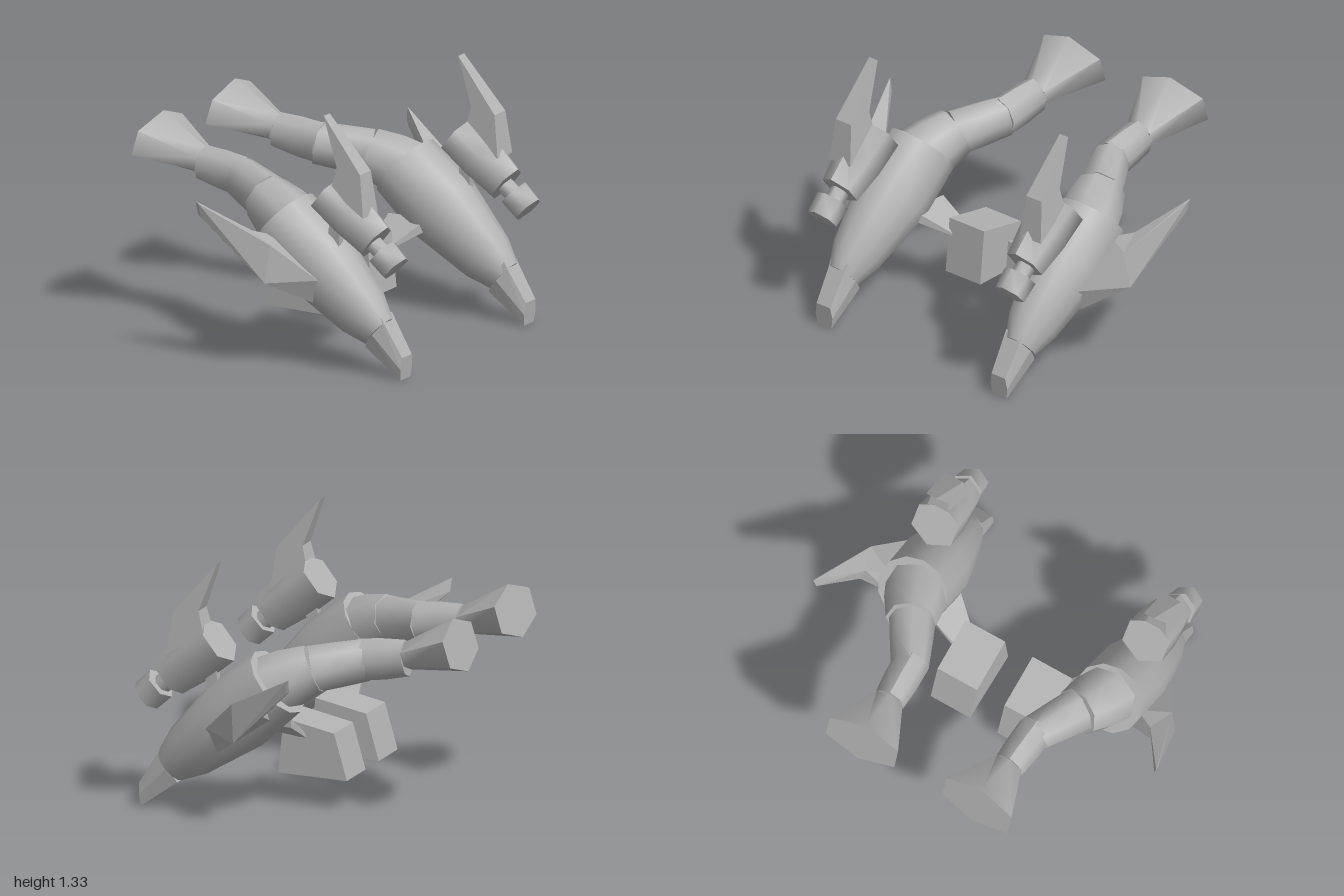
import * as THREE from 'three';
import { toCreasedNormals } from 'three/addons/utils/BufferGeometryUtils.js';
import { ConvexGeometry } from 'three/addons/geometries/ConvexGeometry.js';

const grey = new THREE.MeshStandardMaterial({ color: 0xb2b2b2 });
grey.name = 'hull grey';

// Turned part along an axis in x, y, z; radii are evenly spaced unless stops are given.
// Its width across z eases from widthA to widthB times the radius.
function spindle(a, b, radii, sides, widthA, widthB, stops) {
  const from = new THREE.Vector3(...a);
  const dir = new THREE.Vector3(...b).sub(from);
  const length = dir.length();
  dir.normalize();
  const profile = radii.map((r, i) =>
    new THREE.Vector2(r, length * (stops ? stops[i] : i / (radii.length - 1))));
  const geo = new THREE.LatheGeometry(
    [new THREE.Vector2(0, 0), ...profile, new THREE.Vector2(0, length)], sides);
  const pos = geo.attributes.position;
  for (let i = 0; i < pos.count; i++) {
    pos.setX(i, pos.getX(i) * THREE.MathUtils.lerp(widthA, widthB, pos.getY(i) / length));
  }
  // One corner of the section points upward
  const up = new THREE.Vector3(0, 1, 0).addScaledVector(dir, -dir.y).normalize();
  const across = new THREE.Vector3().crossVectors(dir, up);
  geo.applyMatrix4(new THREE.Matrix4().makeBasis(across, dir, up).setPosition(from));
  return toCreasedNormals(geo, sides === 6 ? 1.1 : 0.9);
}

// Flat plate from an outline in x and y, centred on z
function plate(outline, z, depth) {
  const shape = new THREE.Shape(outline.map(([x, y]) => new THREE.Vector2(x, y)));
  return new THREE.ExtrudeGeometry(shape, { depth, bevelEnabled: false })
    .translate(0, 0, z - depth / 2);
}

// Faceted solid around a set of corners
const hull = (corners) => new ConvexGeometry(corners.map((c) => new THREE.Vector3(...c)));

function buildCraft(side) {
  const craft = new THREE.Group();
  craft.name = side > 0 ? 'frontCraft' : 'backCraft';
  const at = (x, y, z) => [x, y, z * side];
  const add = (name, geo) => {
    const mesh = new THREE.Mesh(geo, grey);
    mesh.name = name;
    craft.add(mesh);
  };

  // Body and tail
  add('mainBody', spindle(at(0.095, 0.725, 0.57), at(0.675, 0.225, 0.59),
    [0.19, 0.205, 0.147, 0.097], 12, 1, 0.85, [0, 0.37, 0.83, 1]));
  add('rearCollar', spindle(at(-0.065, 0.79, 0.485), at(0.16, 0.69, 0.57),
    [0.13, 0.155, 0.16], 8, 1, 1.05));
  add('tailSegmentFront', spindle(at(-0.3, 0.83, 0.355), at(-0.05, 0.785, 0.485),
    [0.112, 0.12, 0.125], 8, 0.85, 0.95));
  add('tailSegmentRear', spindle(at(-0.52, 0.865, 0.348), at(-0.27, 0.83, 0.362),
    [0.096, 0.108, 0.11], 8, 0.85, 0.85));
  add('tailCone', spindle(at(-0.81, 0.965, 0.335), at(-0.52, 0.875, 0.348),
    [0.14, 0.07], 6, 1.6, 1.2));

  // Nose, rounded a little by wider middle corners
  const nose = [
    [0.71, 0.32, 0.055], [0.665, 0.23, 0.075], [0.62, 0.15, 0.055],
    [0.835, 0.12, 0.045], [0.83, 0.06, 0.056], [0.825, 0, 0.045]];
  add('nose', hull(nose.flatMap(([x, y, w]) => [at(x, y, 0.583 + w), at(x, y, 0.583 - w)])));

  // Upper pod with its neck and tip
  add('upperPod', spindle(at(0.395, 0.92, 0.615), at(0.67, 0.7, 0.615),
    [0.128, 0.13, 0.112], 6, 1.04, 0.88));
  add('podNeck', spindle(at(0.64, 0.71, 0.62), at(0.75, 0.62, 0.62), [0.05, 0.05], 6, 1, 1));
  add('podTip', spindle(at(0.715, 0.657, 0.625), at(0.795, 0.582, 0.625),
    [0.088, 0.085], 6, 1, 0.95));
  add('podStrut', plate([[0.39, 0.64], [0.46, 0.62], [0.47, 0.8], [0.41, 0.8]], 0.615 * side, 0.04));

  // Top fin, thinner toward its tip
  const fin = plate([[0.45, 0.96], [0.65, 0.84], [0.62, 1.06], [0.39, 1.33], [0.48, 1.08]], 0, 0.14);
  const pos = fin.attributes.position;
  for (let i = 0; i < pos.count; i++) {
    pos.setZ(i, pos.getZ(i) * THREE.MathUtils.mapLinear(pos.getY(i), 0.84, 1.33, 1, 0.4));
  }
  fin.translate(0, 0, 0.635 * side);
  fin.computeVertexNormals();
  add('topFin', fin);

  // Side wing in two stretches that share the middle section
  const root = [at(0.13, 0.68, 0.72), at(0.41, 0.49, 0.75), at(0.36, 0.36, 0.72), at(0.08, 0.56, 0.7)];
  const middle = [at(0.07, 0.72, 0.83), at(0.21, 0.675, 0.88), at(0.19, 0.48, 0.905), at(0.05, 0.62, 0.85)];
  const tip = [at(-0.16, 0.88, 1), at(-0.145, 0.87, 1), at(-0.14, 0.8, 0.985), at(-0.155, 0.81, 0.985)];
  add('sideWingInner', hull([...root, ...middle]));
  add('sideWingOuter', hull([...middle, ...tip]));

  // Inner strut and the box below it
  add('innerStrut', hull([
    at(0.08, 0.45, 0.44), at(0.32, 0.45, 0.44), at(0.32, 0.51, 0.44), at(0.08, 0.5, 0.44),
    at(0.05, 0.35, 0.285), at(0.19, 0.365, 0.285), at(0.19, 0.38, 0.285), at(0.06, 0.37, 0.285)]));
  add('underBox', plate([[-0.17, 0.165], [0.21, 0.165], [0.18, 0.455], [-0.1, 0.405]], 0.195 * side, 0.23));
  return craft;
}

export function createModel() {
  const model = new THREE.Group();
  model.name = 'twinCraft';
  model.add(buildCraft(1), buildCraft(-1));
  return model;
}
